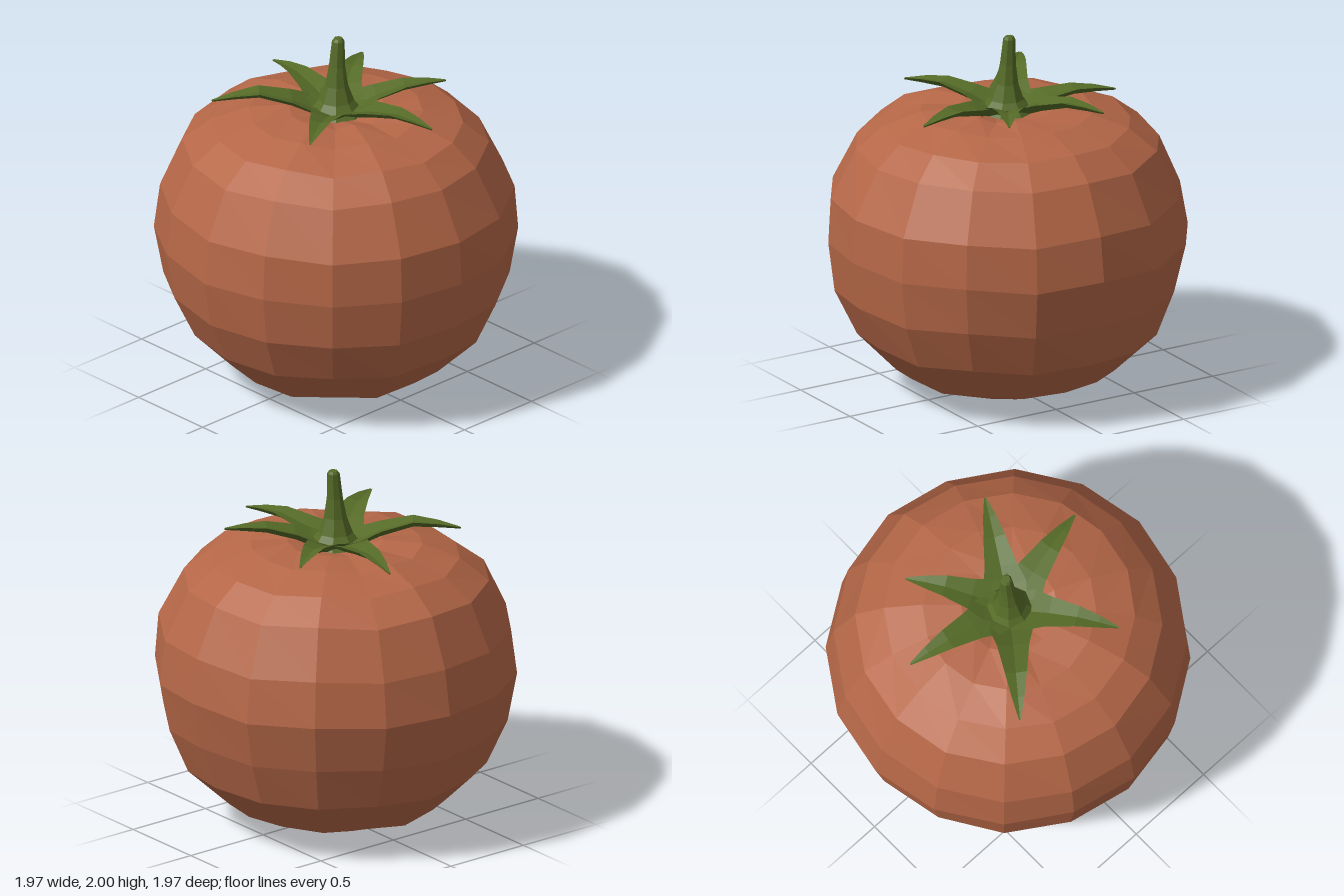
import * as THREE from 'three';

const red = new THREE.MeshStandardMaterial({ name: 'tomatoRed', color: 0xb56747, flatShading: true });
const green = new THREE.MeshStandardMaterial({ name: 'leafGreen', color: 0x556b27, flatShading: true });

// Repeatable value in -1..1 for the hand-cut unevenness
const wobble = (i, j) => Math.sin(i * 12.99 + j * 78.23 + 1.7);

// Faceted round body, with a shallow dip under the calyx
function makeFruit() {
  const sides = 16;
  const profile = [
    [0, 0.005], [0.32, 0.025], [0.6, 0.13], [0.825, 0.35], [0.935, 0.6], [0.985, 0.87], [0.957, 1.12],
    [0.83, 1.39], [0.68, 1.51], [0.47, 1.58], [0.26, 1.595], [0.1, 1.56], [0, 1.55],
  ].map(([x, y]) => new THREE.Vector2(x, y));
  const geometry = new THREE.LatheGeometry(profile, sides);
  const p = geometry.attributes.position;
  for (let n = 0; n < p.count; n++) {
    const j = n % profile.length;
    const i = Math.floor(n / profile.length) % sides;
    if (j < 2 || j > 10) continue;
    const k = 1 + 0.008 * wobble(i, j);
    p.setXYZ(n, p.getX(n) * k, p.getY(n) + 0.012 * wobble(j, i), p.getZ(n) * k);
  }
  geometry.computeVertexNormals();
  const mesh = new THREE.Mesh(geometry, red);
  mesh.name = 'fruit';
  return mesh;
}

// Cupped pointed leaf: four-cornered sections swept from the centre to the tip
function makeSepal(tipX, tipZ, midY, tipY) {
  const length = Math.hypot(tipX, tipZ);
  const dx = tipX / length, dz = tipZ / length;
  // distance along, half width, height, thickness
  const sections = [
    [0.02, 0.1, 1.575, 0.03], [0.2, 0.12, 1.61, 0.035], [0.36, 0.088, (1.61 + midY) / 2, 0.035],
    [0.62, 0.06, midY, 0.03], [0.82, 0.035, (midY + tipY) / 2 + 0.005, 0.022], [1, 0.006, tipY, 0.008],
  ];
  const positions = [], index = [];
  sections.forEach(([t, w, y, h]) => {
    const x = tipX * t, z = tipZ * t;
    positions.push(
      x - dz * w, y + w * 0.15, z + dx * w,
      x, y - w * 0.1, z,
      x + dz * w, y + w * 0.15, z - dx * w,
      x, y - w * 0.1 - h, z,
    );
  });
  for (let s = 0; s < sections.length - 1; s++) {
    for (let c = 0; c < 4; c++) {
      const a = s * 4 + c, b = s * 4 + (c + 1) % 4;
      index.push(a, a + 4, b, b, a + 4, b + 4);
    }
  }
  const e = (sections.length - 1) * 4;
  index.push(e, e + 3, e + 1, e + 1, e + 3, e + 2);
  const geometry = new THREE.BufferGeometry();
  geometry.setAttribute('position', new THREE.Float32BufferAttribute(positions, 3));
  geometry.setIndex(index);
  geometry.computeVertexNormals();
  const mesh = new THREE.Mesh(geometry, green);
  mesh.name = 'sepal';
  return mesh;
}

// Flared stem with a slight lean
function makeStem() {
  const profile = [[0.15, 1.57], [0.095, 1.64], [0.062, 1.73], [0.044, 1.84], [0.034, 1.985], [0.024, 2], [0, 2]]
    .map(([x, y]) => new THREE.Vector2(x, y));
  const geometry = new THREE.LatheGeometry(profile, 8);
  const p = geometry.attributes.position;
  for (let n = 0; n < p.count; n++) {
    const t = (p.getY(n) - 1.57) / 0.43;
    p.setX(n, p.getX(n) - 0.006 * t);
    p.setZ(n, p.getZ(n) - 0.02 * t * t);
  }
  geometry.computeVertexNormals();
  const mesh = new THREE.Mesh(geometry, green);
  mesh.name = 'stem';
  return mesh;
}

export function createModel() {
  const model = new THREE.Group();
  model.name = 'tomato';
  const calyx = new THREE.Group();
  calyx.name = 'calyx';
  // tip x, tip z, height midway, height at tip
  [
    [0.61, -0.13, 1.665, 1.635], [0.31, -0.52, 1.69, 1.69], [-0.31, -0.49, 1.675, 1.645],
    [-0.62, -0.12, 1.65, 1.615], [-0.42, 0.53, 1.705, 1.665], [0.33, 0.51, 1.685, 1.665],
  ].forEach((tip) => calyx.add(makeSepal(...tip)));
  calyx.add(makeStem());
  model.add(makeFruit(), calyx);
  return model;
}
